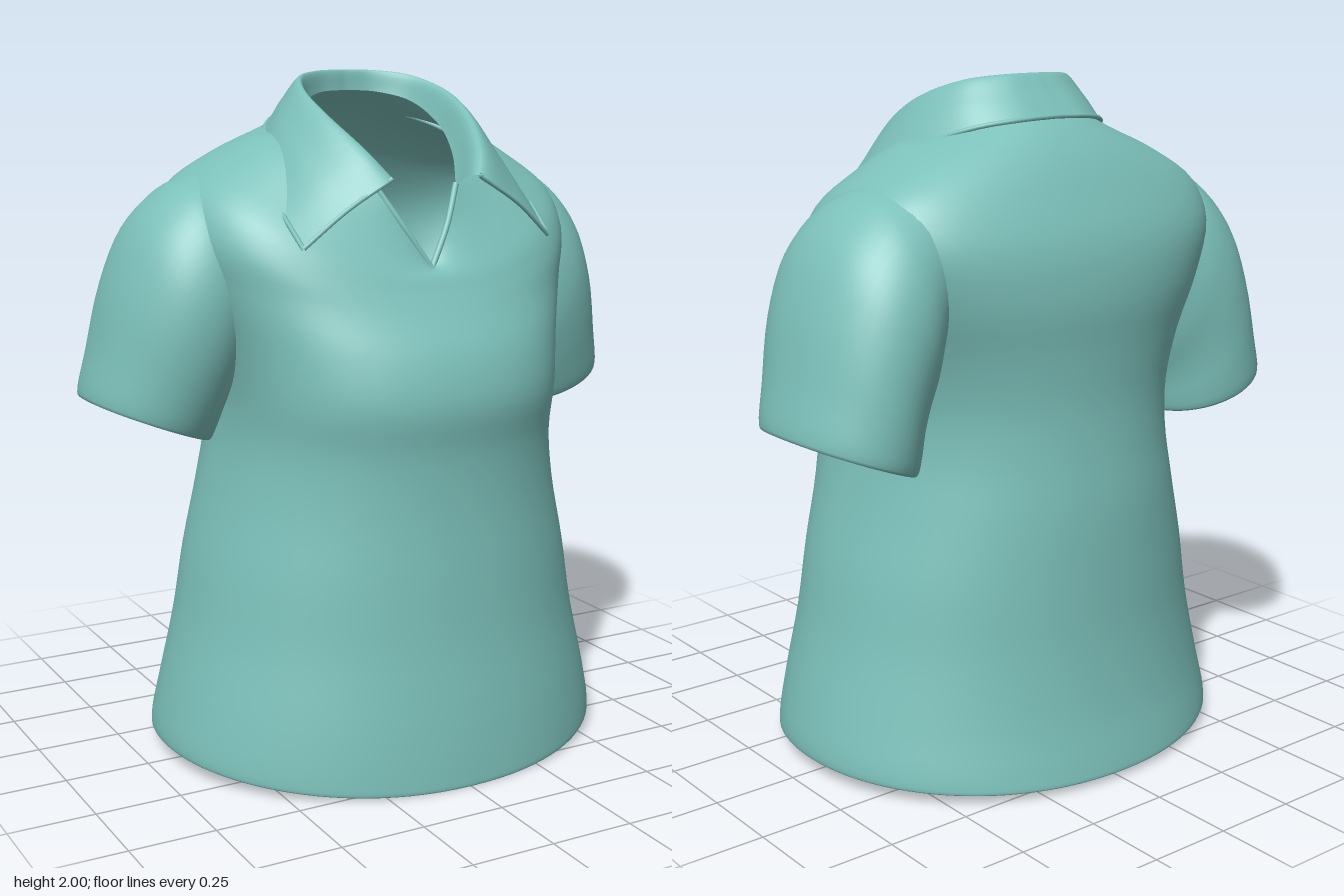
import * as THREE from 'three';
import { mergeVertices } from 'three/addons/utils/BufferGeometryUtils.js';

const V = (x, y, z) => new THREE.Vector3(x, y, z);
const curve = (pts) => new THREE.CatmullRomCurve3(pts.map((p) => V(...p)));
const power = (v, p) => Math.sign(v) * Math.pow(Math.abs(v), p);

// Smooth surface through control rows; rows[i](u) returns a point for u in 0..1
function loft(rows, cols, perRow) {
  const n = (rows.length - 1) * perRow;
  const pos = [], index = [];
  for (let j = 0; j <= cols; j++) {
    const line = new THREE.CatmullRomCurve3(rows.map((row) => row(j / cols)));
    for (let i = 0; i <= n; i++) pos.push(...line.getPoint(i / n).toArray());
  }
  for (let j = 0; j < cols; j++) {
    for (let i = 0; i < n; i++) {
      const a = j * (n + 1) + i, b = a + n + 1;
      index.push(a, b, a + 1, b, b + 1, a + 1);
    }
  }
  let g = new THREE.BufferGeometry();
  g.setAttribute('position', new THREE.Float32BufferAttribute(pos, 3));
  g.setIndex(index);
  g = mergeVertices(g, 1e-5);
  g.computeVertexNormals();
  return g;
}

// Half curves run front to back. Mirrored row with its middle at the front (closed) ...
const aroundFront = (c) => (u) => {
  const s = u * 2 - 1;
  const p = c.getPoint(Math.abs(s));
  return V(s < 0 ? -p.x : p.x, p.y, p.z);
};
// ... or with its middle at the back (open at the front)
const aroundBack = (c) => (u) => {
  const s = u * 2 - 1;
  const p = c.getPoint(1 - Math.abs(s));
  return V(s < 0 ? -p.x : p.x, p.y, p.z);
};

// Neck seam, collar fold and collar outer edge
const standPts = [
  [0.13, 1.685, 0.26], [0.175, 1.765, 0.165], [0.2, 1.845, 0.04],
  [0.17, 1.91, -0.08], [0.09, 1.935, -0.15], [0, 1.94, -0.17],
];
const vTip = [0, 1.46, 0.35], vMid = [0.07, 1.575, 0.313];
const neckCurve = curve([vTip, vMid, ...standPts]);
const standRow = aroundBack(curve(standPts));
const foldRow = aroundBack(curve([
  [0.14, 1.715, 0.372], [0.185, 1.79, 0.3], [0.228, 1.88, 0.16], [0.23, 1.945, 0.02],
  [0.18, 1.985, -0.1], [0.09, 1.998, -0.162], [0, 2.0, -0.175],
]));
const edgeRow = aroundBack(curve([
  [0.395, 1.535, 0.34], [0.402, 1.63, 0.215], [0.375, 1.73, 0.06], [0.315, 1.81, -0.08],
  [0.23, 1.86, -0.2], [0.12, 1.88, -0.265], [0, 1.885, -0.275],
]));
const leafRow = (u) => {
  const m = foldRow(u).lerp(edgeRow(u), 0.5);
  return m.add(V(m.x * 0.03, 0.008, 0.006));
};

// Body ring: heights at front, side, back; half width; front, back, side z;
// squareness of front and back
const bodyRing = ([yf, ys, yb, hw, zf, zb, zs, pf, pb]) => (u) => {
  const a = (u * 2 - 1) * Math.PI;
  const c = Math.cos(a), s = Math.sin(a);
  const [y, z, p] = c > 0 ? [yf, zf, pf] : [yb, zb, pb];
  return V(
    hw * power(s, 0.95),
    ys * s * s + y * c * c,
    zs + (z - zs) * Math.pow(Math.abs(c), p),
  );
};

const bodyRings = [
  [0.06, 0.1, 0.08, 0.67, 0.568, -0.565, 0, 0.95, 0.95],
  [0.015, 0.062, 0.035, 0.675, 0.575, -0.575, 0, 0.95, 0.95],
  [0.005, 0.05, 0.025, 0.69, 0.59, -0.59, 0, 0.95, 0.95],
  [0.04, 0.08, 0.06, 0.692, 0.59, -0.585, 0, 0.95, 0.95],
  [0.2, 0.2, 0.2, 0.667, 0.575, -0.555, 0, 0.94, 0.95],
  [0.4, 0.4, 0.4, 0.617, 0.55, -0.53, 0, 0.92, 0.93],
  [0.6, 0.6, 0.6, 0.577, 0.535, -0.52, 0, 0.88, 0.9],
  [0.8, 0.8, 0.8, 0.525, 0.522, -0.51, 0, 0.82, 0.87],
  [0.96, 0.96, 0.96, 0.493, 0.525, -0.492, 0, 0.74, 0.83],
  [1.1, 1.1, 1.1, 0.492, 0.543, -0.482, 0, 0.68, 0.78],
  [1.23, 1.25, 1.25, 0.52, 0.513, -0.487, -0.03, 0.69, 0.73],
  [1.34, 1.42, 1.4, 0.575, 0.452, -0.497, -0.07, 0.72, 0.67],
  [1.4, 1.56, 1.55, 0.61, 0.418, -0.478, -0.1, 0.73, 0.64],
  [1.43, 1.67, 1.68, 0.575, 0.402, -0.42, -0.12, 0.73, 0.66],
  [1.445, 1.76, 1.79, 0.455, 0.392, -0.355, -0.1, 0.8, 0.75],
  [1.453, 1.825, 1.87, 0.32, 0.383, -0.28, -0.05, 0.9, 0.9],
];

// Sleeve ring: outer x, y; inner x, y; centre z; half depth
const sleeveRings = [
  [0.51, 1.72, 0.44, 1.19, -0.13, 0.27],
  [0.61, 1.677, 0.455, 1.12, -0.13, 0.3],
  [0.71, 1.578, 0.475, 1.06, -0.135, 0.308],
  [0.78, 1.42, 0.485, 1.02, -0.145, 0.3],
  [0.828, 1.22, 0.492, 0.98, -0.16, 0.283],
  [0.857, 1.09, 0.5, 0.95, -0.17, 0.265],
  [0.852, 1.078, 0.507, 0.945, -0.17, 0.257],
  [0.838, 1.085, 0.518, 0.955, -0.17, 0.245],
  [0.8, 1.24, 0.515, 1.0, -0.16, 0.26],
];

// side is 1 or -1; the sleeve may be shifted forward and made narrower
const sleeve = (side, shift, scale) => loft(sleeveRings.map(([ox, oy, ix, iy, zc, r]) => (u) => {
  const a = u * Math.PI * 2, k = (1 + Math.cos(a)) / 2;
  return V(
    side * (ix + (ox - ix) * k),
    iy + (oy - iy) * k,
    zc + shift + r * scale * power(Math.sin(side * a), 0.88),
  );
}), 48, 4);

export function createModel() {
  const model = new THREE.Group();
  model.name = 'poloShirt';
  const teal = new THREE.MeshStandardMaterial({ color: 0x7cc0ba, side: THREE.DoubleSide });
  teal.name = 'teal cloth';
  const add = (name, geometry) => {
    const mesh = new THREE.Mesh(geometry, teal);
    mesh.name = name;
    model.add(mesh);
  };

  // Body with turned hem, closing in to the V neck
  add('body', loft([...bodyRings.map(bodyRing), aroundFront(neckCurve)], 96, 4));

  // Sleeves with turned cuffs, the right one a little slimmer
  add('leftSleeve', sleeve(1, 0, 1));
  add('rightSleeve', sleeve(-1, 0.03, 0.9));

  // Collar: stand, rolled fold and pointed leaves in one sheet, open at the front
  add('collar', loft([standRow, foldRow, leafRow, edgeRow], 80, 7));

  // Rounded rims on the collar fronts, collar edge and V opening
  const rim = (name, pts, r) =>
    add(name, new THREE.TubeGeometry(new THREE.CatmullRomCurve3(pts), pts.length * 5, r, 8));
  rim('collarEdge', Array.from({ length: 33 }, (_, i) => edgeRow(i / 32)), 0.007);
  rim('rightCollarFront', [foldRow(0), leafRow(0), edgeRow(0)], 0.007);
  rim('leftCollarFront', [foldRow(1), leafRow(1), edgeRow(1)], 0.007);
  const vEdge = [vTip, vMid, standPts[0]];
  rim('leftNeckOpening', vEdge.map(([x, y, z]) => V(x, y, z)), 0.009);
  rim('rightNeckOpening', vEdge.map(([x, y, z]) => V(-x, y, z)), 0.009);
  return model;
}
